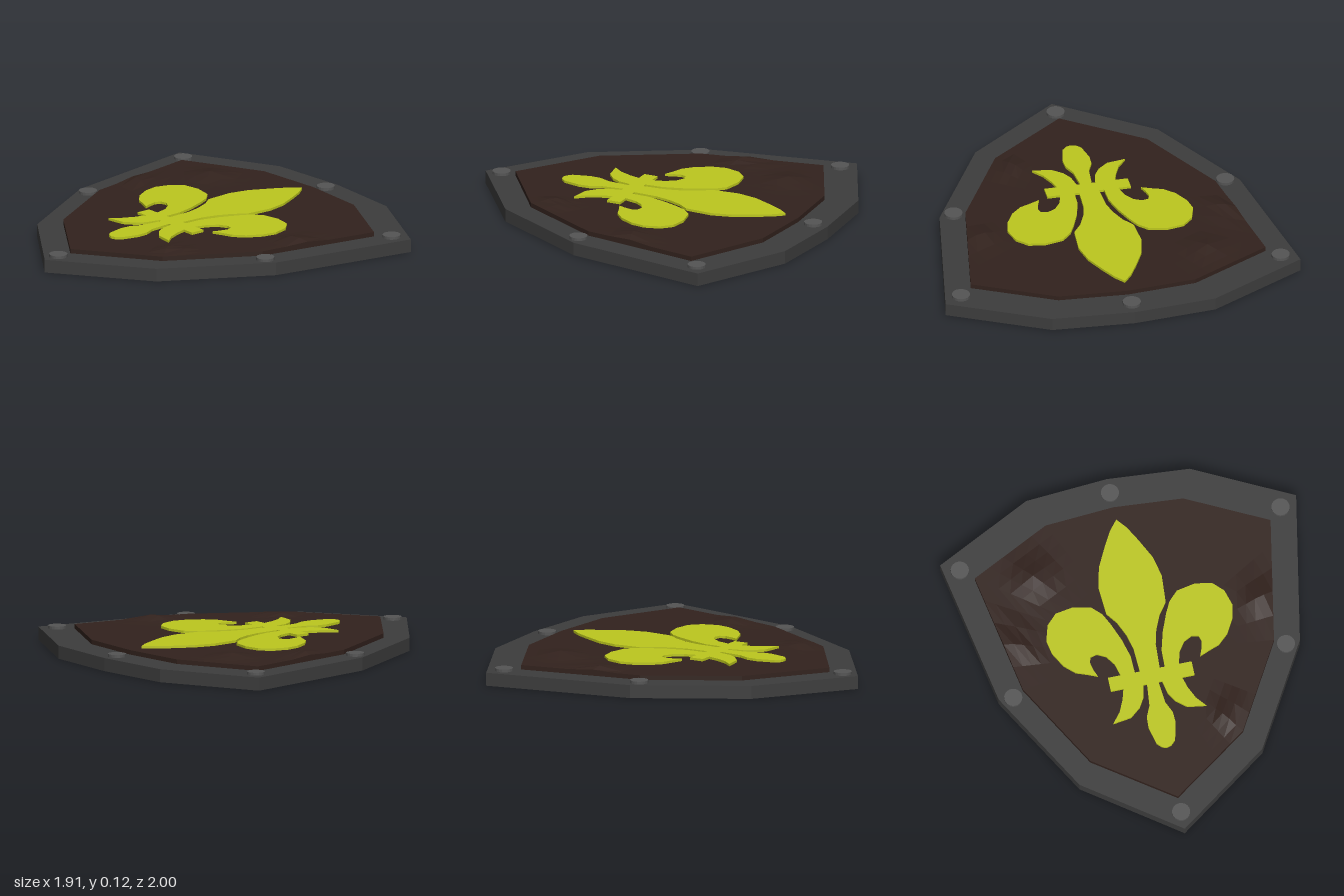
import * as THREE from 'three';

const mat = (color) => new THREE.MeshStandardMaterial({ color, flatShading: true });

// Mirrors a right-hand half outline of [x, z] points that runs from back to front
const mirrored = (half) => [
  ...half,
  ...half.filter(([x]) => x !== 0).reverse().map(([x, z]) => [-x, z]),
];
const flip = (points) => points.map(([x, z]) => [-x, z]);

// Flat plate with an [x, z] outline, lying between two heights
function plate(name, points, bottom, top, material) {
  const shape = new THREE.Shape(points.map(([x, z]) => new THREE.Vector2(x, -z)));
  const geo = new THREE.ExtrudeGeometry(shape, { depth: top - bottom, bevelEnabled: false });
  geo.rotateX(-Math.PI / 2);
  const mesh = new THREE.Mesh(geo, material);
  mesh.name = name;
  mesh.position.y = bottom;
  return mesh;
}

// Uneven hide panel: concentric rings of the outline, raised by a few dents and bumps
function hidePanel(points, bottom, top, material) {
  const bumps = [[-0.49, -0.53, 0.09], [-0.65, -0.2, 0.07], [0.36, 0.42, 0.06], [0.65, -0.17, 0.08]];
  const height = (x, z) => bumps.reduce(
    (h, [bx, bz, r]) => h + 0.026 * Math.exp(-((x - bx) ** 2 + (z - bz) ** 2) / (r * r)), top);
  const steps = 5;
  const loop = [];
  points.forEach(([x, z], i) => {
    const [nx, nz] = points[(i + 1) % points.length];
    for (let k = 0; k < steps; k++) loop.push([x + (nx - x) * k / steps, z + (nz - z) * k / steps]);
  });
  const n = loop.length;
  const pos = [];
  const index = [];
  for (const [x, z] of loop) pos.push(x, bottom, z);
  const scales = [1, 0.93, 0.86, 0.79, 0.72, 0.62, 0.5];
  for (const s of scales) for (const [x, z] of loop) pos.push(x * s, height(x * s, z * s), z * s);
  const centre = pos.length / 3;
  pos.push(0, top, 0);
  for (let r = 0; r < scales.length; r++) {
    for (let i = 0; i < n; i++) {
      const a = r * n + i, b = r * n + (i + 1) % n;
      index.push(a, a + n, b, b, a + n, b + n);
    }
  }
  for (let i = 0; i < n; i++) {
    index.push(scales.length * n + i, centre, scales.length * n + (i + 1) % n);
  }
  const geo = new THREE.BufferGeometry();
  geo.setAttribute('position', new THREE.Float32BufferAttribute(pos, 3));
  geo.setIndex(index);
  geo.computeVertexNormals();
  const mesh = new THREE.Mesh(geo, material);
  mesh.name = 'hidePanel';
  return mesh;
}

export function createModel() {
  const shield = new THREE.Group();
  shield.name = 'shield';
  const iron = mat(0x3d3d3d);
  const hide = mat(0x32221d);
  const gold = mat(0xbdc81e);
  const rivetMetal = mat(0x555555);

  // Solid backing whose border forms the rim
  const rim = mirrored([[0, -1], [0.44, -0.967], [0.957, -0.707], [0.81, 0.09], [0.492, 0.645], [0, 1]]);
  shield.add(plate('rim', rim, 0, 0.07, iron));

  // Raised panel
  const inner = mirrored([[0, -0.83], [0.37, -0.803], [0.795, -0.59], [0.675, 0.07], [0.41, 0.535], [0, 0.825]]);
  shield.add(hidePanel(inner, 0.065, 0.094, hide));

  // Lily emblem
  const emblem = new THREE.Group();
  emblem.name = 'lilyEmblem';
  const low = 0.085, high = 0.107;
  const petal = mirrored([
    [0, -0.755], [0.045, -0.7], [0.09, -0.62], [0.145, -0.51], [0.17, -0.4], [0.16, -0.25],
    [0.115, -0.19], [0.08, -0.11], [0.06, -0.03], [0.053, 0.11], [0, 0.11],
  ]);
  const sidePetal = [
    [0.08, 0.11], [0.083, 0.01], [0.11, -0.09], [0.15, -0.19], [0.18, -0.25], [0.23, -0.3],
    [0.33, -0.32], [0.42, -0.305], [0.475, -0.25], [0.5, -0.165], [0.485, -0.09], [0.44, -0.01],
    [0.385, 0.04], [0.33, 0.06], [0.275, 0.083], [0.29, 0.045], [0.3, 0], [0.29, -0.03],
    [0.255, -0.038], [0.21, -0.015], [0.175, 0.035], [0.155, 0.11],
  ];
  const flare = [
    [0.048, 0.17], [0.065, 0.25], [0.095, 0.3], [0.15, 0.345], [0.25, 0.36],
    [0.205, 0.305], [0.175, 0.24], [0.155, 0.17],
  ];
  const tail = mirrored([
    [0, 0.17], [0.03, 0.17], [0.043, 0.3], [0.07, 0.36], [0.073, 0.42], [0.05, 0.515], [0.025, 0.54], [0, 0.547],
  ]);
  const band = [[-0.225, 0.103], [0.225, 0.103], [0.225, 0.18], [-0.225, 0.18]];
  emblem.add(
    plate('centrePetal', petal, low, high, gold),
    plate('leftPetal', sidePetal, low, high, gold),
    plate('rightPetal', flip(sidePetal), low, high, gold),
    plate('band', band, low, high, gold),
    plate('leftFlare', flare, low, high, gold),
    plate('rightFlare', flip(flare), low, high, gold),
    plate('tail', tail, low, high, gold),
  );
  shield.add(emblem);

  // Rivets around the rim
  const rivetGeo = new THREE.CylinderGeometry(0.048, 0.048, 0.025, 20);
  for (const [x, z] of mirrored([[0, -0.917], [0.862, -0.655], [0.733, 0.1], [0, 0.907]])) {
    const rivet = new THREE.Mesh(rivetGeo, rivetMetal);
    rivet.name = 'rivet';
    rivet.position.set(x, 0.0725, z);
    shield.add(rivet);
  }
  return shield;
}
